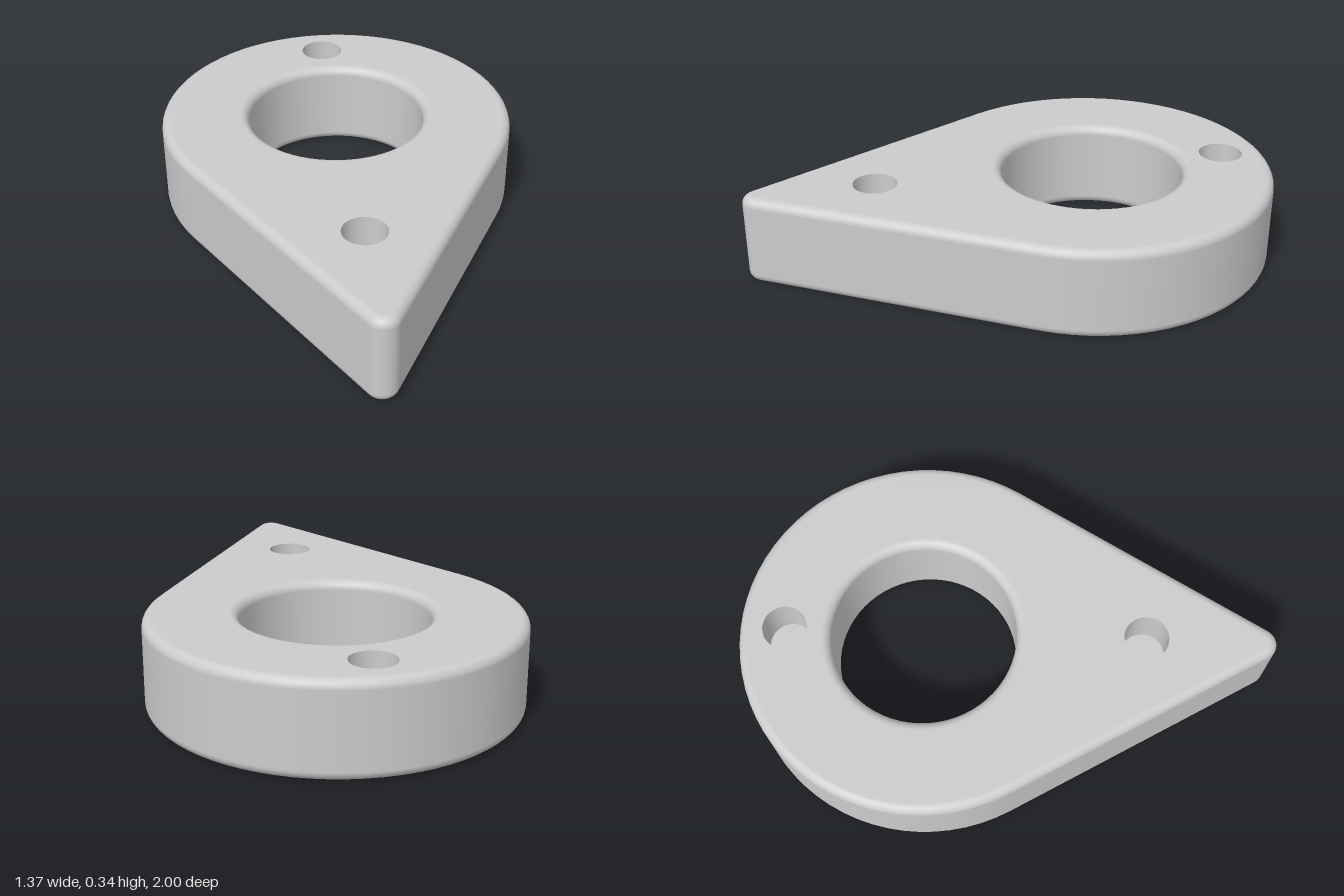
import * as THREE from 'three';

const H = 0.345, B = 0.035;            // plate height, edge rounding
const CZ = -0.313;                     // centre of the round end
const PIN_R = 0.083, PIN_DEPTH = 0.18; // blind holes

// Arc samples: centre z, radius and outward angle of every point
function arc(cz, r, from, to, n) {
  return Array.from({ length: n + 1 }, (_, i) => ({
    cz, r, a: THREE.MathUtils.degToRad(from + (to - from) * i / n),
  }));
}

// Teardrop: small tip arc joined by tangents to the large round end
const tip = arc(0.94, 0.06, 30, 150, 12);
const teardrop = [...tip, ...arc(CZ, 0.687, 150, 390, 48), tip[0]];
const bore = arc(CZ, 0.346, 0, 360, 64);
const pinHoles = [-0.83, 0.515].map((z) => arc(z, PIN_R, 0, 360, 40));

const at = (p, off) => [Math.cos(p.a) * (p.r + off), p.cz + Math.sin(p.a) * (p.r + off)];

// Side profile with rounded bottom and top edges: [inset, y, normal out, normal y]
function roundedProfile(steps = 6) {
  const rows = [];
  for (const top of [0, 1]) {
    for (let i = 0; i <= steps; i++) {
      const t = (top ? i / steps : i / steps - 1) * Math.PI / 2;
      const c = Math.cos(t), s = Math.sin(t);
      rows.push([B * (1 - c), (top ? H - B : B) + B * s, c, s]);
    }
  }
  return rows;
}

// Sweep a profile round an outline; side is 1 for outer walls, -1 for holes
function wall(outline, profile, side) {
  const pos = [], nor = [], idx = [], m = profile.length;
  outline.forEach((p, i) => {
    profile.forEach(([inset, y, nOut, nY], j) => {
      const [x, z] = at(p, -side * inset);
      pos.push(x, y, z);
      nor.push(side * nOut * Math.cos(p.a), nY, side * nOut * Math.sin(p.a));
      if (i === outline.length - 1 || j === m - 1) return;
      const a = i * m + j, b = a + 1, c = a + m + 1, d = a + m;
      idx.push(...(side > 0 ? [a, b, c, a, c, d] : [a, c, b, a, d, c]));
    });
  });
  const g = new THREE.BufferGeometry();
  g.setAttribute('position', new THREE.Float32BufferAttribute(pos, 3));
  g.setAttribute('normal', new THREE.Float32BufferAttribute(nor, 3));
  g.setIndex(idx);
  return g;
}

// Flat face with holes, facing up (dir 1) or down (dir -1)
function face(holes, dir, y) {
  const pts = (outline, off) => outline.slice(0, -1).map((p) => {
    const [x, z] = at(p, off);
    return new THREE.Vector2(x, -dir * z);
  });
  const shape = new THREE.Shape(pts(teardrop, -B));
  shape.holes = holes.map(([o, off]) => new THREE.Path(pts(o, off)));
  return new THREE.ShapeGeometry(shape).rotateX(-dir * Math.PI / 2).translate(0, y, 0);
}

export function createModel() {
  const group = new THREE.Group();
  group.name = 'teardropPlate';
  const material = new THREE.MeshStandardMaterial({ color: 0xcccccc });
  const add = (name, geometry) => {
    const mesh = new THREE.Mesh(geometry, material);
    mesh.name = name;
    group.add(mesh);
  };

  // Plate body
  const rounded = roundedProfile();
  add('outerWall', wall(teardrop, rounded, 1));
  add('boreWall', wall(bore, rounded, -1));
  add('topFace', face([[bore, B], ...pinHoles.map((o) => [o, 0])], 1, H));
  add('bottomFace', face([[bore, B]], -1, 0));

  // Blind holes in the top
  const floorY = H - PIN_DEPTH;
  pinHoles.forEach((o, i) => {
    const name = i ? 'frontPinHole' : 'backPinHole';
    add(name + 'Wall', wall(o, [[0, floorY, 1, 0], [0, H, 1, 0]], -1));
    add(name + 'Floor', new THREE.CircleGeometry(PIN_R, 40)
      .rotateX(-Math.PI / 2).translate(0, floorY, o[0].cz));
  });
  return group;
}
